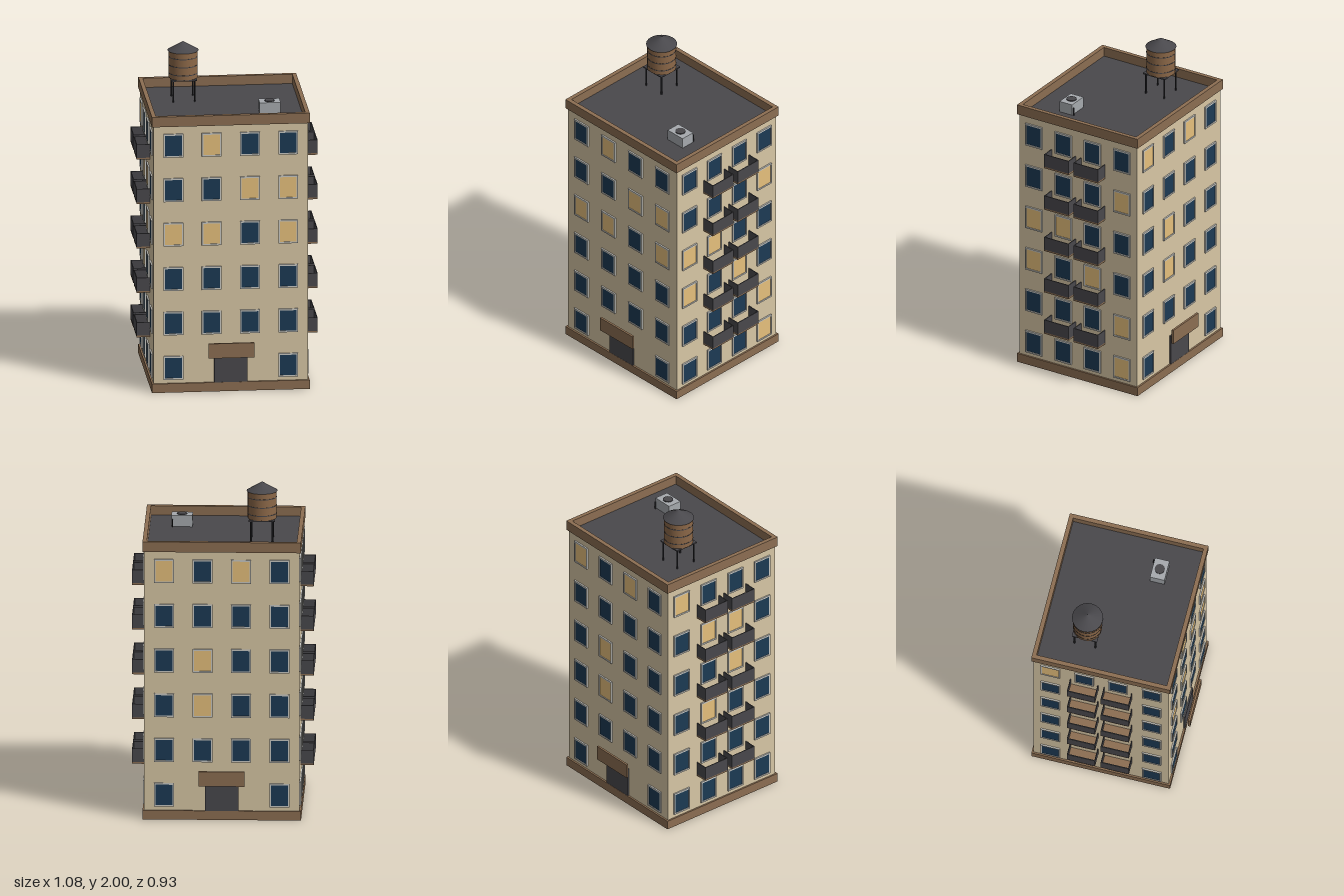
import * as THREE from 'three';

const mat = (name, color) => new THREE.MeshStandardMaterial({ name, color });

export function createModel() {
  const model = new THREE.Group();
  model.name = 'apartmentBuilding';

  const wall = mat('wallPlaster', 0xd8c7a5);
  const brown = mat('brownTrim', 0x8c6e52);
  const wood = mat('tankWood', 0x8c6848);
  const dark = mat('darkGrey', 0x49484c);
  const glass = mat('darkGlass', 0x1c3a54);
  const lit = mat('litGlass', 0xe6c07c);
  const frameGrey = mat('windowFrame', 0xc9c9c4);
  const metal = mat('metal', 0xa6aaae);
  const iron = mat('blackIron', 0x2d2d31);

  const add = (parent, name, geo, m, x = 0, y = 0, z = 0) => {
    const mesh = new THREE.Mesh(geo, m);
    mesh.name = name;
    mesh.position.set(x, y, z);
    parent.add(mesh);
    return mesh;
  };
  const box = (parent, name, w, h, d, m, x, y, z) =>
    add(parent, name, new THREE.BoxGeometry(w, h, d), m, x, y, z);
  // Rectangular frame in the xy plane, extruded along +z
  const ring = (w, h, iw, ih, depth) => {
    const rect = (S, a, b) => new S([[-a, -b], [a, -b], [a, b], [-a, b]].map(p => new THREE.Vector2(p[0] / 2, p[1] / 2)));
    const s = rect(THREE.Shape, w, h);
    s.holes.push(rect(THREE.Path, iw, ih));
    return new THREE.ExtrudeGeometry(s, { depth, bevelEnabled: false });
  };

  // Main block, plinth and parapet
  const HX = 0.459, HZ = 0.412, ROOF = 1.64;
  box(model, 'walls', HX * 2, ROOF - 0.004, HZ * 2, wall, 0, (ROOF - 0.004) / 2, 0);
  box(model, 'roofDeck', 0.9, 0.006, 0.81, dark, 0, ROOF, 0);
  add(model, 'plinth', ring(0.938, 0.846, 0.91, 0.82, 0.055), brown).rotation.x = -Math.PI / 2;
  add(model, 'parapet', ring(0.938, 0.846, 0.888, 0.794, 0.062), brown, 0, 1.638, 0).rotation.x = -Math.PI / 2;

  // Facades: lit windows by storey from the ground up, columns left to right
  const facades = [
    { name: 'front', turn: 0, dist: HZ, step: 0.2275, lit: ['', '', '', '013', '23', '1'] },
    { name: 'left', turn: Math.PI / 2, dist: HX, step: 0.206, lit: ['3', '3', '02', '01', '3', ''] },
    { name: 'back', turn: Math.PI, dist: HZ, step: 0.2275, lit: ['', '', '1', '1', '', '02'] },
    { name: 'right', turn: -Math.PI / 2, dist: HX, step: 0.206, lit: ['', '', '1', '2', '12', '0'] },
  ];
  const frameGeo = ring(0.117, 0.144, 0.1, 0.125, 0.009);
  const paneGeo = new THREE.BoxGeometry(0.102, 0.127, 0.005);

  for (const f of facades) {
    const side = new THREE.Group();
    side.name = f.name + 'Facade';
    side.rotation.y = f.turn;
    model.add(side);
    const entrance = f.name === 'front' || f.name === 'back';

    for (let row = 0; row < 6; row++) {
      for (let col = 0; col < 4; col++) {
        const inner = col === 1 || col === 2;
        if (entrance && row === 0 && inner) continue;
        const x = (col - 1.5) * f.step, y = 0.15 + row * 0.274;
        add(side, 'windowFrame', frameGeo, frameGrey, x, y, f.dist);
        add(side, 'windowPane', paneGeo, f.lit[row].includes(String(col)) ? lit : glass, x, y, f.dist + 0.003);
        if (!entrance && inner && row > 0) balcony(side, x, y - 0.147, f.dist);
      }
    }
    if (entrance) {
      // Door with a fascia board standing in front of it
      box(side, 'door', 0.196, 0.185, 0.01, dark, 0, 0.1475, f.dist + 0.005);
      box(side, 'entranceFascia', 0.272, 0.09, 0.013, brown, 0, 0.26, 0.4565);
    }
  }

  // Open-topped balcony: brown floor, dark railings
  function balcony(parent, x, y, z) {
    const b = new THREE.Group();
    b.name = 'balcony';
    b.position.set(x, y, z);
    parent.add(b);
    box(b, 'balconyFloor', 0.172, 0.01, 0.078, brown, 0, 0.005, 0.039);
    box(b, 'balconyFrontRail', 0.172, 0.082, 0.005, dark, 0, 0.051, 0.0765);
    for (const s of [-1, 1]) box(b, 'balconySideRail', 0.005, 0.082, 0.074, dark, s * 0.0835, 0.051, 0.037);
  }

  // Rooftop water tank
  const tank = new THREE.Group();
  tank.name = 'waterTank';
  tank.position.set(-0.23, 0, -0.14);
  model.add(tank);
  box(tank, 'tankPlatform', 0.154, 0.008, 0.154, dark, 0, 1.776, 0);
  for (const sx of [-1, 1]) for (const sz of [-1, 1])
    add(tank, 'tankLeg', new THREE.CylinderGeometry(0.005, 0.005, 0.134, 8), iron, sx * 0.064, 1.707, sz * 0.064);
  add(tank, 'tankBarrel', new THREE.CylinderGeometry(0.086, 0.086, 0.167, 24), wood, 0, 1.8635, 0);
  for (const y of [1.808, 1.858, 1.908])
    add(tank, 'tankHoop', new THREE.CylinderGeometry(0.0873, 0.0873, 0.005, 24), dark, 0, y, 0);
  add(tank, 'tankRoof', new THREE.ConeGeometry(0.092, 0.055, 24), dark, 0, 1.9725, 0);

  // Rooftop air conditioner
  const ac = new THREE.Group();
  ac.name = 'airConditioner';
  ac.position.set(0.253, 0, 0.179);
  model.add(ac);
  box(ac, 'unitCase', 0.125, 0.068, 0.088, metal, 0, 1.678, 0);
  add(ac, 'fanGrille', new THREE.CylinderGeometry(0.03, 0.03, 0.006, 20), dark, 0, 1.714, 0);
  add(ac, 'unitPipe', new THREE.CylinderGeometry(0.004, 0.004, 0.05, 8), iron, 0.056, 1.666, -0.051);

  return model;
}
